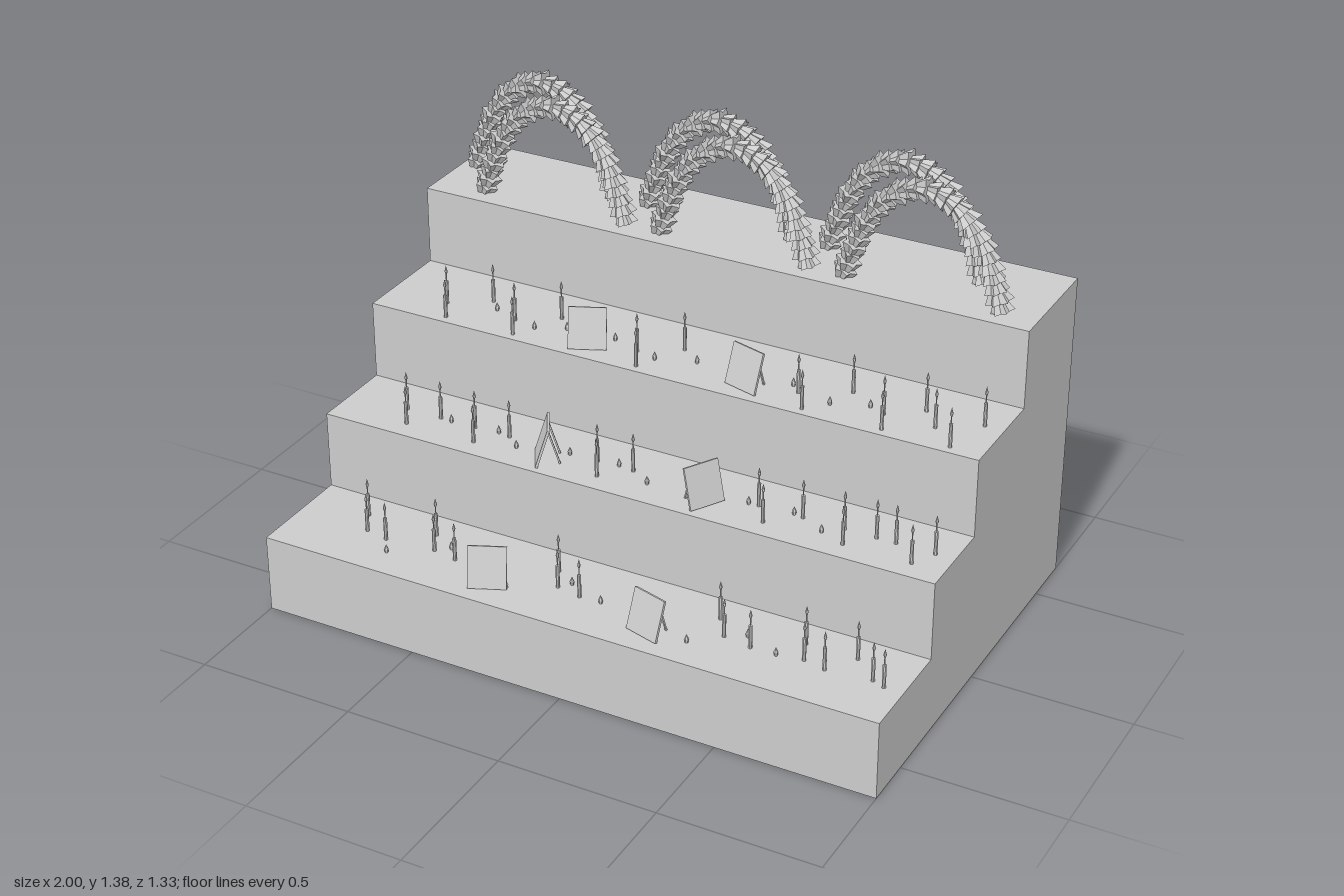
import * as THREE from 'three';
import { mergeGeometries } from 'three/addons/utils/BufferGeometryUtils.js';

const stone = new THREE.MeshStandardMaterial({ color: 0xcccccc });
stone.name = 'pale grey';

function add(parent, geometry, name, x = 0, y = 0, z = 0) {
  const mesh = new THREE.Mesh(geometry, stone);
  mesh.name = name;
  mesh.position.set(x, y, z);
  parent.add(mesh);
  return mesh;
}

// Separate faces for a faceted look
function flat(geometry) {
  const g = geometry.toNonIndexed();
  g.computeVertexNormals();
  return g;
}

// Pleated leaf cup, opening along +y: every other spoke is pulled in
function leafCup() {
  const g = new THREE.CylinderGeometry(0.038, 0.02, 0.036, 12, 1);
  const p = g.attributes.position;
  for (let i = 0; i < p.count; i++) {
    const x = p.getX(i), z = p.getZ(i);
    const spoke = Math.round(Math.atan2(z, x) / (Math.PI / 6));
    const k = spoke % 2 ? 0.72 : 1.06;
    p.setX(i, x * k);
    p.setZ(i, z * k);
  }
  return flat(g);
}

// Arch of overlapping leaf cups
function archGeometry() {
  const curve = new THREE.CatmullRomCurve3([
    [-0.25, 0.01], [-0.175, 0.205], [-0.1, 0.295], [0, 0.335],
    [0.1, 0.3], [0.18, 0.21], [0.25, 0.03],
  ].map(([x, y]) => new THREE.Vector3(x, y, x * 0.03)));
  const up = new THREE.Vector3(0, 1, 0), cup = leafCup(), parts = [], n = 28;
  for (let i = 0; i <= n; i++) {
    const q = new THREE.Quaternion().setFromUnitVectors(up, curve.getTangentAt(i / n));
    q.multiply(new THREE.Quaternion().setFromAxisAngle(up, i * 1.3));
    const s = 1 + 0.08 * Math.sin(i * 2.4);
    parts.push(cup.clone().applyMatrix4(new THREE.Matrix4().compose(
      curve.getPointAt(i / n), q, new THREE.Vector3(s, 1, s))));
  }
  return mergeGeometries(parts);
}

// Candle: shaft, thin wick and pointed flame
function candleGeometry() {
  return flat(mergeGeometries([
    new THREE.CylinderGeometry(0.006, 0.006, 0.075, 8).translate(0, 0.0375, 0),
    new THREE.CylinderGeometry(0.002, 0.002, 0.03, 5).translate(0, 0.088, 0),
    new THREE.CylinderGeometry(0.005, 0.002, 0.01, 6).translate(0, 0.103, 0),
    new THREE.ConeGeometry(0.005, 0.02, 6).translate(0, 0.118, 0),
  ]));
}

// Small bud-shaped peg
function pegGeometry() {
  return flat(mergeGeometries([
    new THREE.CylinderGeometry(0.007, 0.005, 0.012, 6).translate(0, 0.006, 0),
    new THREE.ConeGeometry(0.007, 0.016, 6).translate(0, 0.02, 0),
  ]));
}

// Leaning display board with two rear struts
function displayBoard(parent, x, y, z, turn) {
  const board = new THREE.Group();
  board.name = 'displayBoard';
  board.position.set(x, y, z);
  board.rotation.y = turn;
  parent.add(board);
  const panel = add(board, new THREE.BoxGeometry(0.115, 0.128, 0.008), 'panel', 0, 0.063, 0.005);
  panel.rotation.x = -0.3;
  for (const s of [-1, 1]) {
    const strut = add(board, new THREE.BoxGeometry(0.006, 0.112, 0.005), 'strut', s * 0.03, 0.055, -0.029);
    strut.rotation.x = 0.3;
  }
}

// Columns shared by every step; depth rows repeat in threes
const candleX = [-0.8, -0.755, -0.68, -0.56, -0.52, -0.44, -0.14, -0.1, -0.02,
  0.39, 0.44, 0.53, 0.66, 0.69, 0.76, 0.82, 0.9, 0.94];
const pegX = [-0.64, -0.48, -0.39, -0.23, -0.07, 0.05, 0.36, 0.5, 0.61];
const steps = [
  { front: 0.66, candleZ: [0.41, 0.485, 0.5], pegZ: [0.56, 0.455, 0.5], boardZ: 0.57, turns: [0.42, -0.28] },
  { front: 0.315, candleZ: [0.175, 0.25, 0.175], pegZ: [0.18, 0.17, 0.22], boardZ: 0.235, turns: [-1.05, 1.05] },
  { front: 0.04, candleZ: [-0.07, 0.01, -0.145], pegZ: [-0.1, -0.05, -0.09], boardZ: -0.03, turns: [0.42, -0.28] },
  { front: -0.29 },
];

export function createModel() {
  const model = new THREE.Group();
  model.name = 'steppedDisplay';
  const back = -0.665, rise = 0.25;
  const candle = candleGeometry(), peg = pegGeometry();

  // Stacked steps, the lower three set with candles, pegs and boards
  steps.forEach(({ front, candleZ, pegZ, boardZ, turns }, i) => {
    const group = new THREE.Group();
    group.name = 'step' + (i + 1);
    model.add(group);
    const depth = front - back, top = (i + 1) * rise;
    add(group, new THREE.BoxGeometry(2, rise, depth), 'tread', 0, top - rise / 2, back + depth / 2);
    if (!turns) return;
    candleX.forEach((x, k) => add(group, candle, 'candle', x, top, candleZ[k % 3]));
    pegX.forEach((x, k) => add(group, peg, 'peg', x, top, pegZ[k % 3]));
    turns.forEach((turn, k) => displayBoard(group, k ? 0.24 : -0.285, top, boardZ, turn));
  });

  // Two offset rows of three leafy arches on the top step
  const arch = archGeometry();
  for (let i = 0; i < 3; i++) {
    add(model, arch, 'backArch', -0.7 + i * 0.61, 1, -0.5);
    add(model, arch, 'frontArch', -0.58 + i * 0.61, 1, -0.353);
  }
  return model;
}
